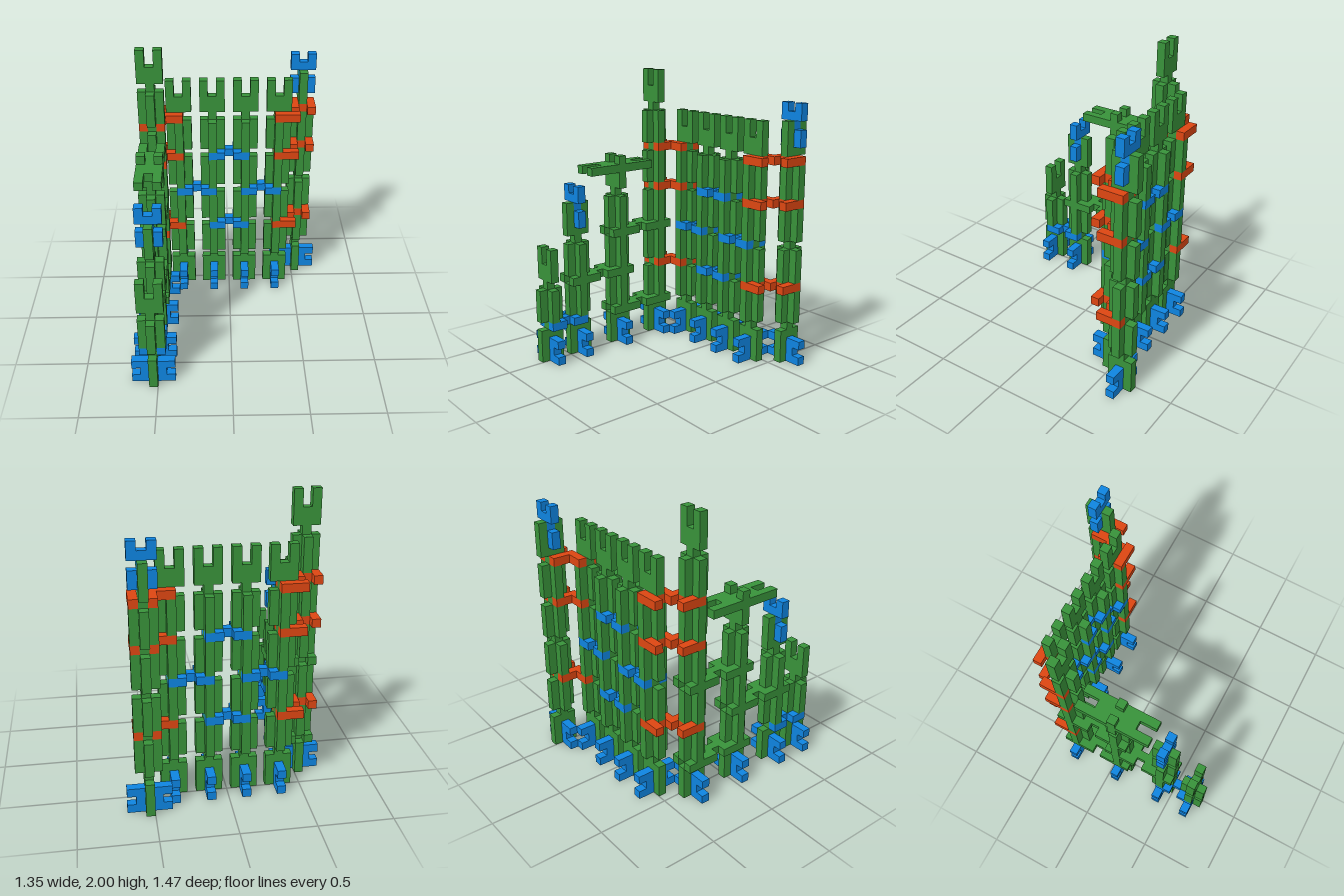
import * as THREE from 'three';

const U = 2 / 34; // one grid unit; the tallest tower is 34 units high
const H = Math.PI / 2;

const green = new THREE.MeshStandardMaterial({ color: 0x38923a });
const blue = new THREE.MeshStandardMaterial({ color: 0x0e84e0 });
const red = new THREE.MeshStandardMaterial({ color: 0xdd4612 });

// Flat plate one unit thick, centred, from an outline in grid units
function plateGeometry(points) {
  const shape = new THREE.Shape(points.map(([x, y]) => new THREE.Vector2(x * U, y * U)));
  return new THREE.ExtrudeGeometry(shape, { depth: U, bevelEnabled: false }).translate(0, 0, -U / 2);
}

// H-shaped plate, 3 wide, long along y, with a notch in each end and a one-unit waist
function hPlate(length, notch) {
  const h = length / 2;
  const quarter = [[0.5, 0.5], [1.5, 0.5], [1.5, h], [0.5, h], [0.5, h - notch]];
  const mirrored = (sx, sy) => quarter.map(([x, y]) => [x * sx, y * sy]);
  return plateGeometry([
    ...mirrored(1, 1), ...mirrored(-1, 1).reverse(),
    ...mirrored(-1, -1), ...mirrored(1, -1).reverse(),
  ]);
}

const longPlate = hPlate(9, 2);
const shortPlate = hPlate(5, 1);

// Two small forked plates joined at one corner
const cornerPlate = plateGeometry([
  [-2.5, -2.5], [0.5, -2.5], [0.5, -1.5], [-0.5, -1.5], [-0.5, -0.5], [0.5, -0.5],
  [0.5, 0.5], [1.5, 0.5], [1.5, -0.5], [2.5, -0.5], [2.5, 2.5], [1.5, 2.5],
  [1.5, 1.5], [0.5, 1.5], [0.5, 2.5], [-0.5, 2.5], [-0.5, 0.5], [-2.5, 0.5],
  [-2.5, -0.5], [-1.5, -0.5], [-1.5, -1.5], [-2.5, -1.5],
]);

// Orientations of a plate
const UP_X = [0, 0, 0];       // upright, width along x
const UP_Z = [0, H, 0];       // upright, width along z
const FOOT_X = [0, 0, H];     // on edge, long along x
const FOOT_Z = [0, H, H];     // on edge, long along z
const FLAT_X = [H, 0, H];     // lying flat, long along x
const FLAT_Z = [H, 0, 0];     // lying flat, long along z

// Places a plate by the grid cell at its centre
function place(parent, name, geometry, material, [x, row, z], rotation) {
  const mesh = new THREE.Mesh(geometry, material);
  mesh.name = name;
  mesh.position.set(x * U, (row + 0.5) * U, z * U);
  mesh.rotation.set(...rotation);
  parent.add(mesh);
}

// Tower of interlocked plates, alternating direction every five rows, on a blue foot
function tower(name, x, z, count, firstAlongX) {
  const group = new THREE.Group();
  group.name = name;
  for (let i = 0; i < count; i++) {
    const alongX = (i % 2 === 0) === firstAlongX;
    place(group, 'towerPlate', longPlate, green, [x, 4 + 5 * i, z], alongX ? UP_X : UP_Z);
  }
  place(group, 'foot', shortPlate, blue, [x, 1, z], firstAlongX ? FOOT_Z : FOOT_X);
  return group;
}

export function createModel() {
  const model = new THREE.Group();
  model.name = 'plateWall';

  // Back wall towers
  for (const x of [-6, -2, 2, 6]) model.add(tower('backTower', x, -8, 5, true));

  // Corner tower, side towers stepping down to the front, and far end tower
  model.add(tower('cornerTower', -9, -5, 6, false));
  model.add(tower('sideTower', -9, 1, 4, false));
  model.add(tower('sideTower', -9, 7, 3, false));
  model.add(tower('frontTower', -9, 11, 2, false));
  model.add(tower('endTower', 9, -11, 5, false));

  // Blue caps and the flat green crossbar
  place(model, 'endTowerCap', shortPlate, blue, [9, 28, -11], UP_X);
  place(model, 'sideTowerCap', shortPlate, blue, [-9, 18, 7], UP_X);
  place(model, 'crossbar', longPlate, green, [-9, 22, 1], FLAT_Z);

  // Blue links along the back wall and at the front
  for (const row of [9, 19]) place(model, 'backLink', shortPlate, blue, [0, row, -8], FLAT_X);
  for (const x of [-4, 4]) place(model, 'backLink', shortPlate, blue, [x, 14, -8], FLAT_X);
  place(model, 'frontLink', shortPlate, blue, [-9, 4, 9], FLAT_Z);

  // Long green links between the side towers
  for (const row of [4, 14]) place(model, 'sideLink', longPlate, green, [-9, row, -2], FLAT_Z);
  place(model, 'sideLink', longPlate, green, [-9, 9, 4], FLAT_Z);

  // Red corner links at both ends of the back wall
  for (const row of [9, 19, 24]) {
    place(model, 'cornerLink', cornerPlate, red, [8, row, -9], [-H, 0, 0]);
    place(model, 'cornerLink', cornerPlate, red, [-8, row, -7], [-H, 0, Math.PI]);
  }
  return model;
}
